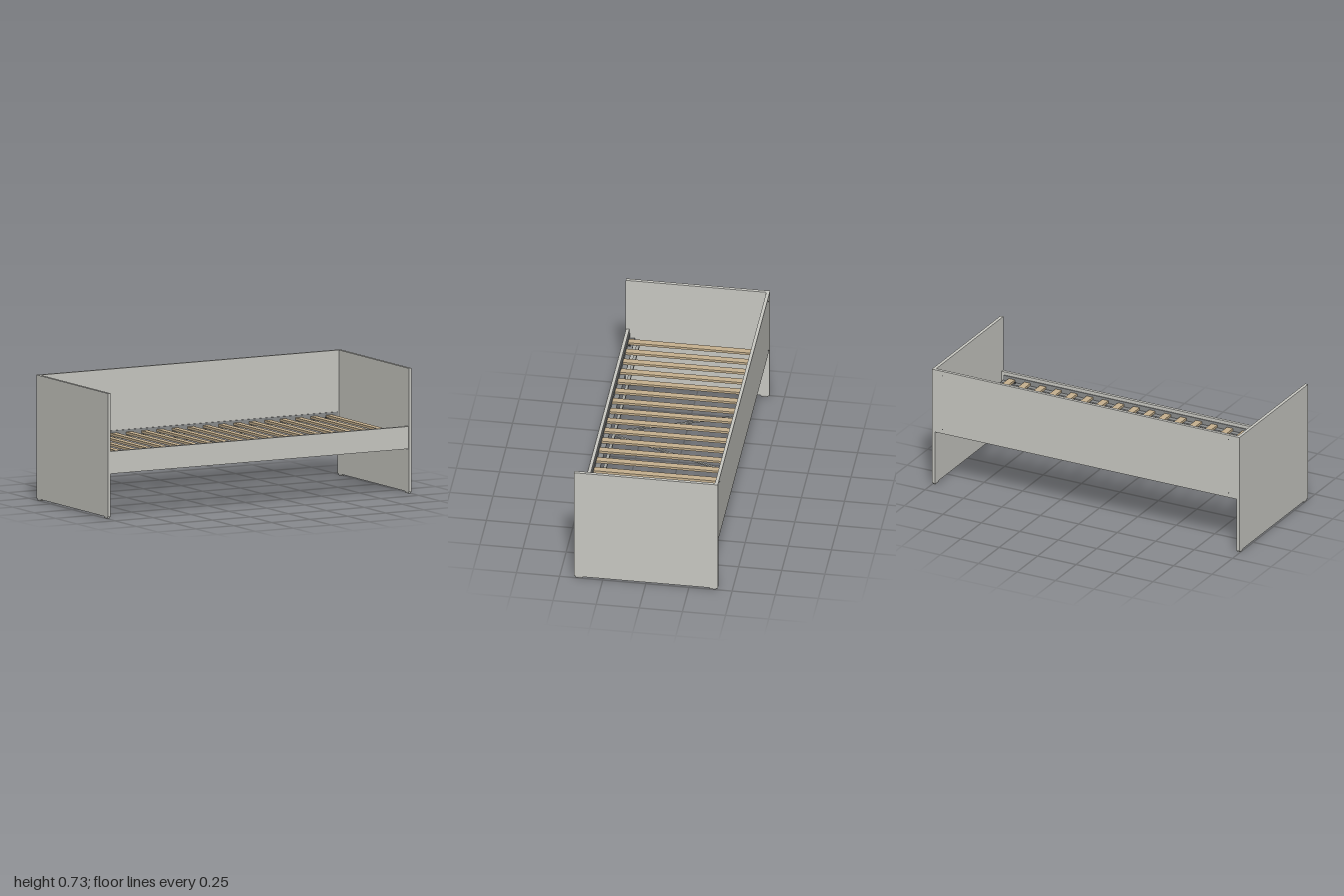
import * as THREE from 'three';

const mat = (name, color) => {
  const m = new THREE.MeshStandardMaterial({ color });
  m.name = name;
  return m;
};

export function createModel() {
  const bed = new THREE.Group();
  bed.name = 'bed';
  const panelGrey = mat('panel grey', 0xc9c9c3);
  const steel = mat('steel grey', 0x8b8d8d);
  const lightSteel = mat('light steel', 0xa9aaa6);
  const wood = mat('slat wood', 0xc6b18f);
  const dark = mat('dark fitting', 0x4a4a4a);

  // Box given by its minimum and maximum on each axis
  const box = (name, material, [x0, x1], [y0, y1], [z0, z1]) => {
    const mesh = new THREE.Mesh(new THREE.BoxGeometry(x1 - x0, y1 - y0, z1 - z0), material);
    mesh.position.set((x0 + x1) / 2, (y0 + y1) / 2, (z0 + z1) / 2);
    mesh.name = name;
    bed.add(mesh);
    return mesh;
  };
  // The same box on either side of the z = 0 plane
  const span = (s, a, b) => (s > 0 ? [a, b] : [-b, -a]);

  // Thin disc facing along z
  const disc = (name, material, r, x, y, z) => {
    const mesh = new THREE.Mesh(new THREE.CylinderGeometry(r, r, 0.004, 20), material);
    mesh.rotation.x = Math.PI / 2;
    mesh.position.set(x, y, z);
    mesh.name = name;
    bed.add(mesh);
  };

  // Head and foot boards with their small feet
  for (const sx of [-1, 1]) {
    box('endPanel', panelGrey, span(sx, 0.981, 1), [0.01, 0.727], [-0.417, 0.417]);
    for (const sz of [-1, 1]) {
      box('foot', lightSteel, span(sx, 0.983, 0.998), [0, 0.01], span(sz, 0.368, 0.407));
    }
  }

  // Tall back panel and low front rail
  box('backPanel', panelGrey, [-0.981, 0.981], [0.335, 0.727], [-0.417, -0.398]);
  box('frontRail', panelGrey, [-0.981, 0.981], [0.26, 0.39], [0.396, 0.415]);

  // Steel angles and inner slat rails along both sides
  for (const s of [-1, 1]) {
    box('angleUpright', steel, [-0.97, 0.97], [0.335, 0.37], span(s, 0.391, 0.397));
    box('angleLedge', steel, [-0.97, 0.97], [0.333, 0.339], span(s, 0.361, 0.392));
    box('slatRail', lightSteel, [-0.9, 0.9], [0.328, 0.343], span(s, 0.325, 0.343));
    for (const sx of [-1, 1]) {
      box('angleBolt', dark, [sx * 0.89 - 0.006, sx * 0.89 + 0.006], [0.339, 0.346], span(s, 0.376, 0.388));
    }
  }

  // Wooden slats
  for (let i = 0; i < 19; i++) {
    const x = -0.912 + i * (1.824 / 18);
    box('slat', wood, [x - 0.02, x + 0.02], [0.343, 0.357], [-0.39, 0.39]);
  }

  // Diagonal braces meeting at the front
  for (const s of [-1, 1]) {
    const from = new THREE.Vector3(s * 0.275, 0.335, -0.335);
    const to = new THREE.Vector3(s * 0.018, 0.335, 0.335);
    const brace = box('diagonalBrace', lightSteel, [-0.006, 0.006], [0, 0.008], [0, from.distanceTo(to)]);
    brace.position.copy(from).lerp(to, 0.5);
    brace.lookAt(to);
  }

  // Round fittings inside the rail and screw caps on the back
  for (const s of [-1, 1]) {
    disc('railFitting', dark, 0.016, s * 0.94, 0.3, 0.395);
    for (const y of [0.362, 0.7]) disc('screwCap', dark, 0.003, s * 0.93, y, -0.416);
  }
  return bed;
}
